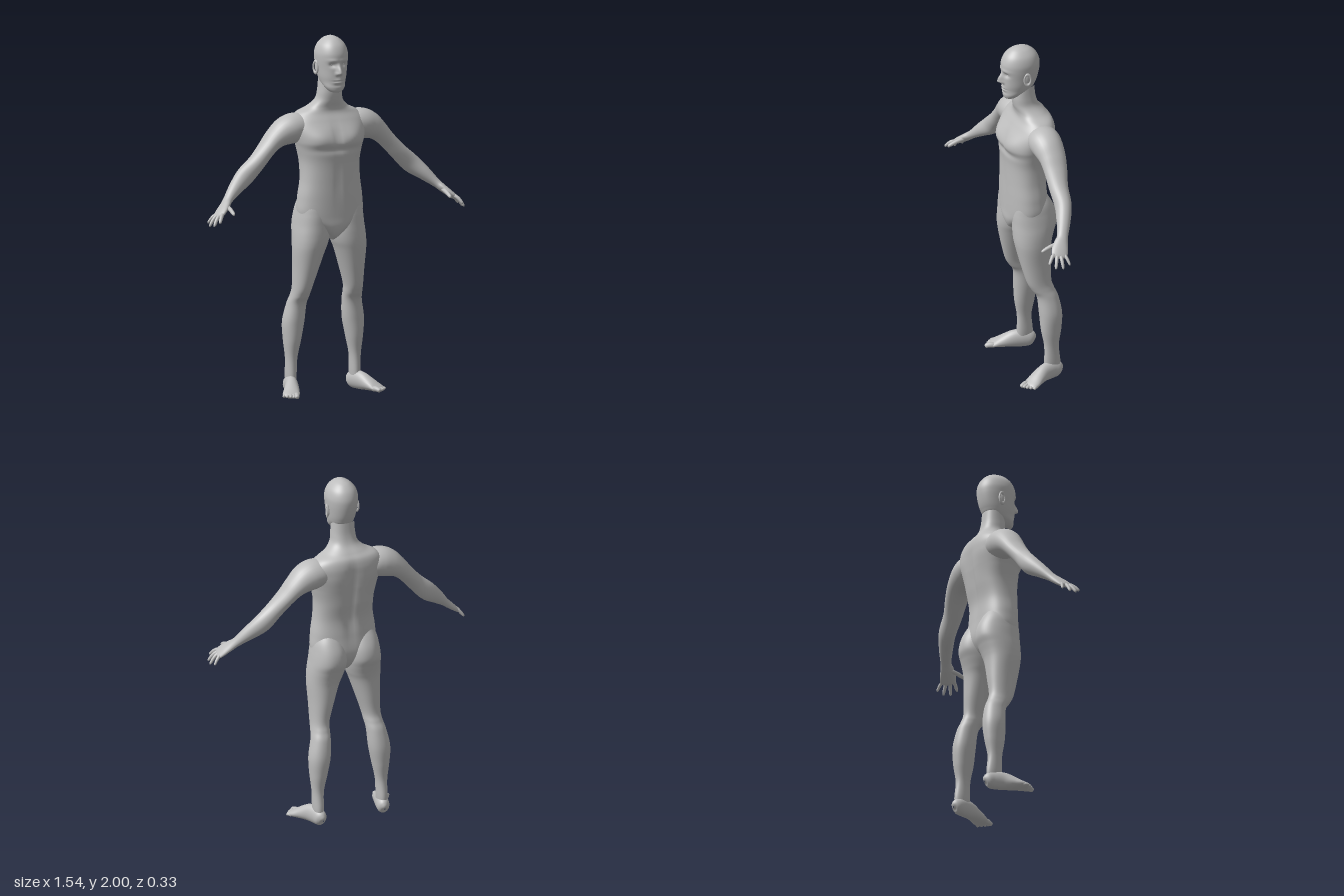
import * as THREE from 'three';

const skin = new THREE.MeshStandardMaterial({ color: 0xbdbdbd });
skin.name = 'grey skin';

const V = (x, y, z) => new THREE.Vector3(x, y, z);
const bell = (d, width) => Math.exp(-(d * d) / (width * width));

// Smooth interpolation through rows of numbers
function resample(rows, steps) {
  const out = [], last = rows.length - 1;
  for (let k = 0; k <= last * steps; k++) {
    const i = Math.min(Math.floor(k / steps), last - 1), t = k / steps - i;
    const [a, b, c, d] = [rows[Math.max(i - 1, 0)], rows[i], rows[i + 1], rows[Math.min(i + 2, last)]];
    out.push(b.map((q, j) => q + 0.5 * t * (c[j] - a[j] + t * (2 * a[j] - 5 * q + 4 * c[j] - d[j]
      + t * (3 * (q - c[j]) + d[j] - a[j])))));
  }
  return out;
}

// Closed skin over rings; place(row, cos, sin, index, rows) gives each point
function loft(rows, steps, segs, power, place) {
  const fine = resample(rows, steps), pos = [], idx = [];
  const round = (q) => Math.sign(q) * Math.abs(q) ** (2 / power);
  fine.forEach((row, i) => {
    for (let j = 0; j < segs; j++) {
      const a = (j / segs) * Math.PI * 2;
      pos.push(...place(row, round(Math.cos(a)), round(Math.sin(a)), i, fine).toArray());
      if (i === 0) continue;
      const k = (j + 1) % segs, lo = (i - 1) * segs, hi = i * segs;
      idx.push(lo + j, lo + k, hi + j, lo + k, hi + k, hi + j);
    }
  });
  const geo = new THREE.BufferGeometry();
  geo.setAttribute('position', new THREE.Float32BufferAttribute(pos, 3));
  geo.setIndex(idx);
  geo.computeVertexNormals();
  return geo;
}

// Upright body: rows [y, xMin, xMax, zBack, zFront], from low to high
function upright(rows, segs, power, shape = (p) => p, steps = 8) {
  return loft(rows, steps, segs, power, ([y, x0, x1, z0, z1], c, s) =>
    shape(V((x0 + x1) / 2 + (c * (x1 - x0)) / 2, y, (z0 + z1) / 2 - (s * (z1 - z0)) / 2)));
}

// Limb along a path: rows [x, y, z, radius across, radius along ref]
function limb(rows, ref, segs = 28, steps = 7) {
  return loft(rows, steps, segs, 2, (row, c, s, i, all) => {
    const p = all[Math.max(i - 1, 0)], n = all[Math.min(i + 1, all.length - 1)];
    const t = V(n[0] - p[0], n[1] - p[1], n[2] - p[2]).normalize();
    const b = ref.clone().addScaledVector(t, -ref.dot(t)).normalize();
    const a = b.clone().cross(t);
    const v = V(row[0], row[1], row[2]).addScaledVector(a, c * Math.max(row[3], 0.0005))
      .addScaledVector(b, s * Math.max(row[4], 0.0005));
    v.y = Math.max(v.y, 0);
    return v;
  });
}

// Finger or toe with a bent middle and a rounded tip
function digit(base, tip, r, bend, ref) {
  const at = (t, k) => {
    const p = V(...base).lerp(V(...tip), t);
    return [p.x, p.y + bend * 4 * t * (1 - t), p.z, r * k, r * k];
  };
  return limb([at(0, 1), at(0.35, 1), at(0.65, 0.92), at(0.9, 0.75), at(0.98, 0.4), at(1, 0.02)], ref, 12, 4);
}

function mirrored(geo) {
  const m = geo.clone().applyMatrix4(new THREE.Matrix4().makeScale(-1, 1, 1));
  const ix = m.index.array;
  for (let i = 0; i < ix.length; i += 3) [ix[i], ix[i + 1]] = [ix[i + 1], ix[i]];
  m.computeVertexNormals();
  return m;
}

export function createModel() {
  const body = new THREE.Group();
  body.name = 'body';
  const add = (name, geo) => {
    const mesh = new THREE.Mesh(geo, skin);
    mesh.name = name;
    body.add(mesh);
  };
  const addPair = (name, geo) => {
    add(`left ${name}`, geo);
    add(`right ${name}`, mirrored(geo));
  };
  const centred = (rows) => rows.map(([y, w, b, f]) => [y, -w, w, b, f]);

  // Torso and neck, with chest muscles, shoulder blades and spine
  const torsoRows = centred([
    [0.865, 0.01, -0.03, 0.04], [0.89, 0.035, -0.07, 0.078], [0.94, 0.11, -0.11, 0.098],
    [1.0, 0.185, -0.13, 0.099], [1.1, 0.186, -0.124, 0.1], [1.2, 0.172, -0.121, 0.1],
    [1.3, 0.171, -0.14, 0.102], [1.38, 0.187, -0.152, 0.11], [1.42, 0.198, -0.156, 0.111],
    [1.48, 0.212, -0.16, 0.087], [1.53, 0.21, -0.161, 0.058], [1.57, 0.175, -0.152, 0.035],
    [1.6, 0.117, -0.128, 0.033], [1.64, 0.077, -0.095, 0.044], [1.69, 0.067, -0.078, 0.05],
    [1.76, 0.062, -0.07, 0.045],
  ]);
  add('torso', upright(torsoRows, 72, 2.35, (p) => {
    const ax = Math.abs(p.x);
    if (p.z > 0) {
      p.z += 0.013 * bell(ax - 0.095, 0.06) * bell(p.y - 1.445, 0.045)
        - 0.007 * bell(p.x, 0.016) * bell(p.y - 1.45, 0.07)
        - 0.008 * bell(p.y - 1.373, 0.018) * bell(p.x, 0.15)
        - 0.004 * bell(p.x, 0.014) * bell(p.y - 1.2, 0.12);
    } else {
      p.z += 0.018 * bell(p.x, 0.028) * bell(p.y - 1.32, 0.2)
        - 0.007 * bell(ax - 0.11, 0.06) * bell(p.y - 1.46, 0.07);
    }
    return p;
  }));

  // Head with brow, eye sockets, nose, lips and chin
  const headRows = centred([
    [1.69, 0.008, 0.055, 0.08], [1.697, 0.034, 0.03, 0.1], [1.72, 0.055, 0.0, 0.107],
    [1.75, 0.067, -0.06, 0.108], [1.78, 0.075, -0.08, 0.111], [1.82, 0.081, -0.094, 0.112],
    [1.87, 0.087, -0.103, 0.115], [1.91, 0.087, -0.102, 0.113], [1.95, 0.074, -0.086, 0.096],
    [1.98, 0.047, -0.056, 0.066], [1.995, 0.02, -0.023, 0.035], [2.0, 0.001, 0.005, 0.007],
  ]);
  add('head', upright(headRows, 112, 2.1, (p) => {
    if (p.z < 0.03) return p;
    const ax = Math.abs(p.x);
    const ridge = THREE.MathUtils.smoothstep(p.y, 1.785, 1.805)
      * (1 - THREE.MathUtils.smoothstep(p.y, 1.808, 1.865));
    p.z += 0.031 * ridge * bell(p.x, 0.013)
      + 0.008 * bell(ax - 0.013, 0.008) * bell(p.y - 1.799, 0.01)
      - 0.013 * bell(ax - 0.033, 0.017) * bell(p.y - 1.848, 0.013)
      + 0.004 * bell(ax - 0.033, 0.03) * bell(p.y - 1.873, 0.01)
      + 0.008 * bell(p.x, 0.024) * bell(p.y - 1.757, 0.015)
      - 0.008 * bell(p.x, 0.026) * bell(p.y - 1.757, 0.004)
      - 0.004 * bell(p.x, 0.03) * bell(p.y - 1.735, 0.009);
    return p;
  }, 10));
  const eye = new THREE.SphereGeometry(0.011, 20, 14);
  addPair('eye', eye.scale(1.15, 0.6, 0.7).translate(0.033, 1.847, 0.087));
  const earRim = new THREE.TorusGeometry(0.02, 0.006, 10, 28);
  addPair('ear rim', earRim.scale(0.9, 1.6, 1).rotateY(1.3).translate(0.089, 1.826, -0.002));
  const earBowl = new THREE.SphereGeometry(0.02, 18, 12);
  addPair('ear bowl', earBowl.scale(0.35, 1.5, 0.9).translate(0.083, 1.825, 0));

  // Arms running from shoulder to palm
  const forward = V(0, 0, 1), up = V(0, 1, 0);
  addPair('arm', limb([
    [0.09, 1.495, -0.055, 0.03, 0.04], [0.14, 1.492, -0.055, 0.068, 0.08],
    [0.2, 1.488, -0.053, 0.083, 0.09], [0.255, 1.47, -0.055, 0.077, 0.085],
    [0.31, 1.435, -0.057, 0.058, 0.075], [0.36, 1.386, -0.053, 0.047, 0.066],
    [0.425, 1.315, -0.043, 0.047, 0.054], [0.5, 1.243, -0.038, 0.052, 0.047],
    [0.57, 1.185, -0.011, 0.039, 0.039], [0.63, 1.13, 0.02, 0.024, 0.031],
    [0.66, 1.102, 0.042, 0.021, 0.039], [0.69, 1.076, 0.062, 0.018, 0.046],
    [0.715, 1.054, 0.075, 0.013, 0.042], [0.724, 1.046, 0.079, 0.002, 0.015],
  ], forward));
  const fingers = [
    ['thumb', [0.652, 1.1, 0.06], [0.655, 1.068, 0.157], 0.012, 0.004],
    ['index finger', [0.695, 1.07, 0.095], [0.735, 1.025, 0.143], 0.0105, 0.008],
    ['middle finger', [0.705, 1.063, 0.083], [0.757, 1.003, 0.113], 0.0105, 0.01],
    ['ring finger', [0.711, 1.06, 0.067], [0.765, 0.999, 0.072], 0.01, 0.01],
    ['little finger', [0.708, 1.062, 0.047], [0.757, 1.01, 0.029], 0.009, 0.008],
  ];
  fingers.forEach(([name, base, tip, r, bend]) =>
    addPair(name, digit(base, tip, r, bend, name === 'thumb' ? up : forward)));

  // Legs, including the buttocks and calves
  addPair('leg', upright([
    [0.04, 0.17, 0.215, -0.145, -0.06], [0.1, 0.165, 0.221, -0.15, -0.058],
    [0.2, 0.16, 0.224, -0.141, -0.058], [0.3, 0.14, 0.235, -0.156, -0.042],
    [0.4, 0.121, 0.24, -0.162, -0.035], [0.5, 0.114, 0.221, -0.145, -0.026],
    [0.55, 0.11, 0.21, -0.125, 0.005], [0.6, 0.103, 0.205, -0.111, 0.03],
    [0.7, 0.073, 0.206, -0.114, 0.057], [0.8, 0.04, 0.211, -0.118, 0.079],
    [0.85, 0.02, 0.211, -0.127, 0.087], [0.9, 0.007, 0.208, -0.143, 0.089],
    [0.95, 0.003, 0.202, -0.16, 0.088], [1.01, 0.005, 0.194, -0.154, 0.086],
    [1.07, 0.02, 0.182, -0.128, 0.075], [1.13, 0.05, 0.15, -0.09, 0.04],
  ], 48, 2.2));

  // Feet turned outward, with five toes each
  addPair('foot', limb([
    [0.186, 0.036, -0.161, 0.004, 0.006], [0.187, 0.04, -0.154, 0.022, 0.03],
    [0.19, 0.045, -0.135, 0.034, 0.045], [0.197, 0.05, -0.1, 0.036, 0.052],
    [0.212, 0.048, -0.05, 0.037, 0.05], [0.235, 0.035, 0, 0.043, 0.036],
    [0.256, 0.022, 0.04, 0.047, 0.022], [0.266, 0.014, 0.066, 0.038, 0.013],
    [0.268, 0.012, 0.072, 0.01, 0.004],
  ], up));
  for (let i = 0; i < 5; i++) {
    const t = i / 4, r = i === 0 ? 0.015 : 0.0115 - 0.002 * t;
    const base = [0.233 + 0.056 * t, 0.018 - 0.004 * t, 0.058 - 0.03 * t];
    const tip = [0.252 + 0.056 * t, 0.011, 0.109 - 0.03 * t - 0.025 * t * t];
    addPair(`toe ${i + 1}`, digit(base, tip, r, 0.004, up));
  }
  return body;
}
